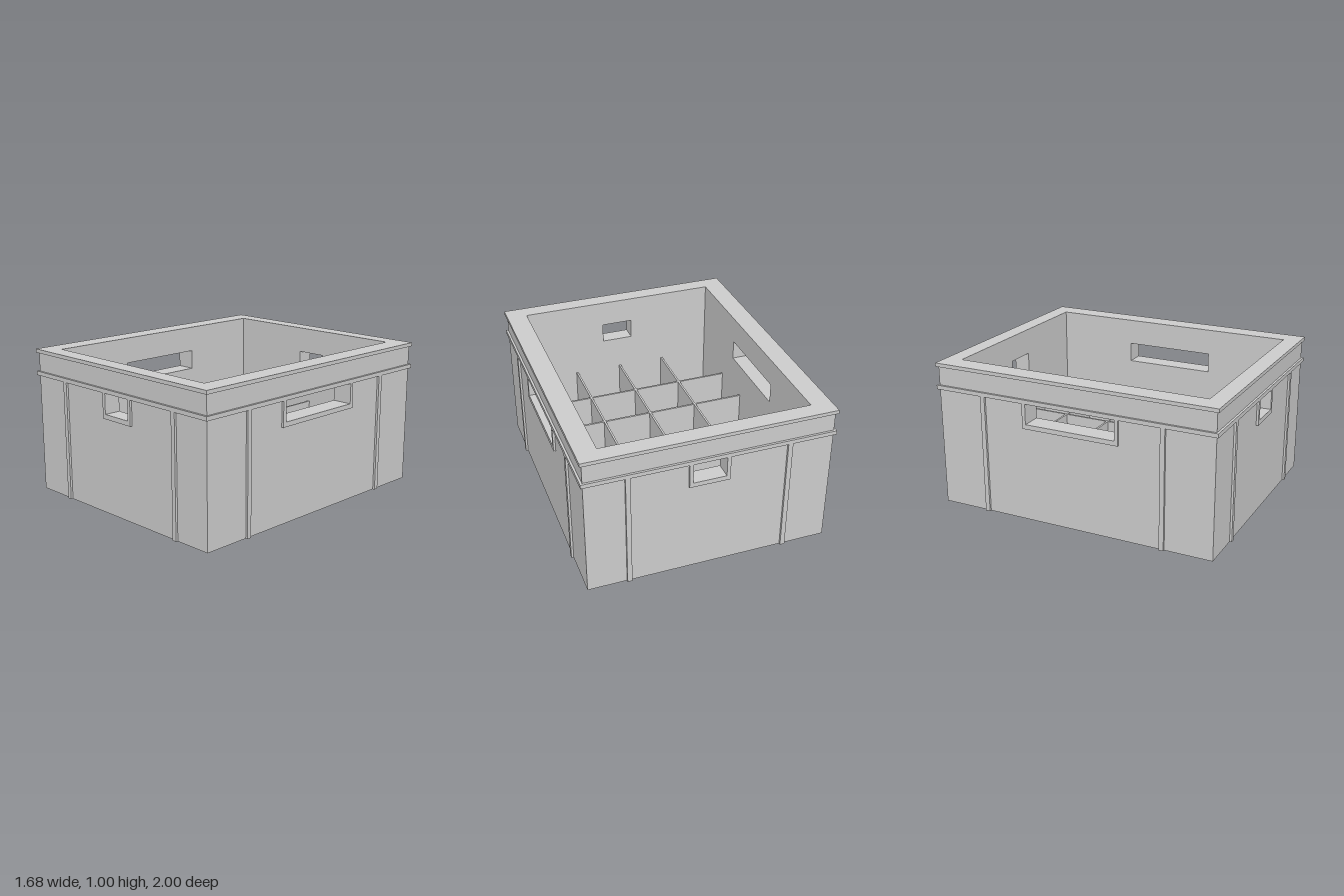
import * as THREE from 'three';

const material = new THREE.MeshStandardMaterial({ color: 0xcccccc, flatShading: true });

// Outer body, lip and cavity half sizes
const BX = 0.825, BZ = 0.985, RX = 0.84, RZ = 1, IX = 0.70, IZ = 0.885;
const FLOOR = 0.03, WALL_TOP = 0.975, BAND = 0.818;

function add(parent, name, geometry, x = 0, y = 0, z = 0) {
  const mesh = new THREE.Mesh(geometry, material);
  mesh.name = name;
  mesh.position.set(x, y, z);
  parent.add(mesh);
  return mesh;
}

// Box given by its limits on each axis
function block(parent, name, x0, x1, y0, y1, z0, z1) {
  return add(parent, name, new THREE.BoxGeometry(x1 - x0, y1 - y0, z1 - z0),
    (x0 + x1) / 2, (y0 + y1) / 2, (z0 + z1) / 2);
}

function polygon(points, Type = THREE.Shape) {
  return new Type(points.map(([x, y]) => new THREE.Vector2(x, y)));
}

const rect = (x0, x1, y0, y1) => [[x0, y0], [x1, y0], [x1, y1], [x0, y1]];

const extrude = (shape, depth) => new THREE.ExtrudeGeometry(shape, { depth, bevelEnabled: false });

// Rectangular ring lying flat between two heights
function ring(parent, name, ox, oz, ix, iz, y0, y1) {
  const shape = polygon(rect(-ox, ox, -oz, oz));
  shape.holes.push(polygon(rect(-ix, ix, -iz, iz), THREE.Path));
  add(parent, name, extrude(shape, y1 - y0).rotateX(-Math.PI / 2), 0, y0, 0);
}

// Wall facing +z: panel with a hand hole, U-shaped frame round the hole, two ribs
function wall(name, { half, inner, outer, lip, hole: [h0, h1], ribs }) {
  const group = new THREE.Group();
  group.name = name;
  const panel = polygon(rect(-half, half, 0, WALL_TOP));
  panel.holes.push(polygon(rect(h0, h1, 0.68, BAND), THREE.Path));
  add(group, 'panel', extrude(panel, outer - inner), 0, 0, inner);

  const t = 0.025;
  const frame = polygon([
    [h0 - t, 0.648], [h1 + t, 0.648], [h1 + t, BAND], [h1, BAND],
    [h1, 0.68], [h0, 0.68], [h0, BAND], [h0 - t, BAND],
  ]);
  add(group, 'handleFrame', extrude(frame, lip - outer), 0, 0, outer);

  for (const x of ribs) block(group, 'rib', x - 0.016, x + 0.016, 0, BAND, outer, lip);
  return group;
}

export function createModel() {
  const crate = new THREE.Group();
  crate.name = 'crate';

  // Short walls; their openings sit slightly off centre at the same x
  const end = { half: IX, inner: IZ, outer: BZ, lip: RZ };
  crate.add(wall('frontWall', { ...end, hole: [-0.095, 0.127], ribs: [-0.522, 0.547] }));
  const back = wall('backWall', { ...end, hole: [-0.127, 0.095], ribs: [-0.547, 0.522] });
  back.rotation.y = Math.PI;
  crate.add(back);

  // Long walls, running the full depth
  for (const [name, s] of [['leftWall', 1], ['rightWall', -1]]) {
    const side = wall(name, {
      half: BZ, inner: IX, outer: BX, lip: RX, hole: [-0.318, 0.318], ribs: [-0.643, 0.643],
    });
    side.rotation.y = s * Math.PI / 2;
    crate.add(side);
  }

  // Floor, lower band and top rim
  block(crate, 'floor', -IX, IX, 0, FLOOR, -IZ, IZ);
  ring(crate, 'lowerBand', RX, RZ, BX, BZ, BAND, 0.846);
  ring(crate, 'topRim', RX, RZ, IX, IZ, WALL_TOP, 1);

  // Compartment dividers, four by five cells
  const dividers = new THREE.Group();
  dividers.name = 'dividers';
  crate.add(dividers);
  const t = 0.007, top = 0.445;
  for (const x of [-0.343, 0, 0.343]) block(dividers, 'longDivider', x - t, x + t, FLOOR, top, -IZ, IZ);
  for (const z of [-0.497, -0.163, 0.17, 0.503]) block(dividers, 'crossDivider', -IX, IX, FLOOR, top, z - t, z + t);

  return crate;
}
